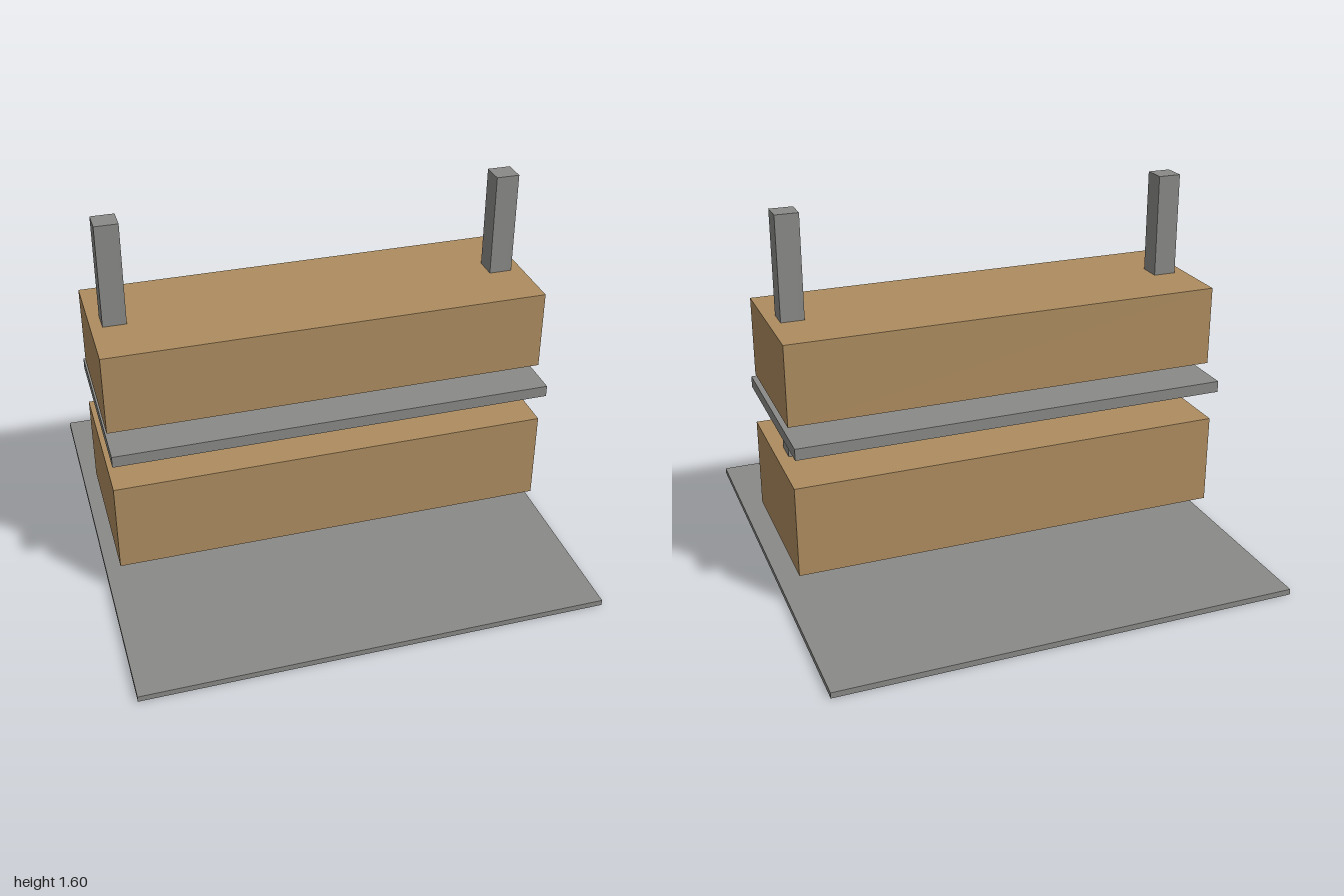
import * as THREE from 'three';

export function createModel() {
  const model = new THREE.Group();
  model.name = 'beamPress';

  const steel = new THREE.MeshStandardMaterial({ name: 'grey steel', color: 0x8a8a88 });
  const wood = new THREE.MeshStandardMaterial({ name: 'brown wood', color: 0xae8d60 });

  // Box standing between two heights, centred on z
  function block(name, material, width, depth, bottom, top, x = 0) {
    const mesh = new THREE.Mesh(new THREE.BoxGeometry(width, top - bottom, depth), material);
    mesh.name = name;
    mesh.position.set(x, (bottom + top) / 2, 0);
    model.add(mesh);
  }

  // Floor plate
  block('basePlate', steel, 2, 2, 0, 0.025);

  // Two beams with a plate between them
  block('lowerBeam', wood, 1.9, 0.7, 0.15, 0.55);
  block('middlePlate', steel, 1.9, 0.8, 0.7, 0.75);
  block('upperBeam', wood, 1.9, 0.6, 0.8, 1.15);

  // Square posts running through the beams
  block('leftPost', steel, 0.1, 0.1, 0.02, 1.6, 0.85);
  block('rightPost', steel, 0.1, 0.1, 0.02, 1.6, -0.85);

  return model;
}
